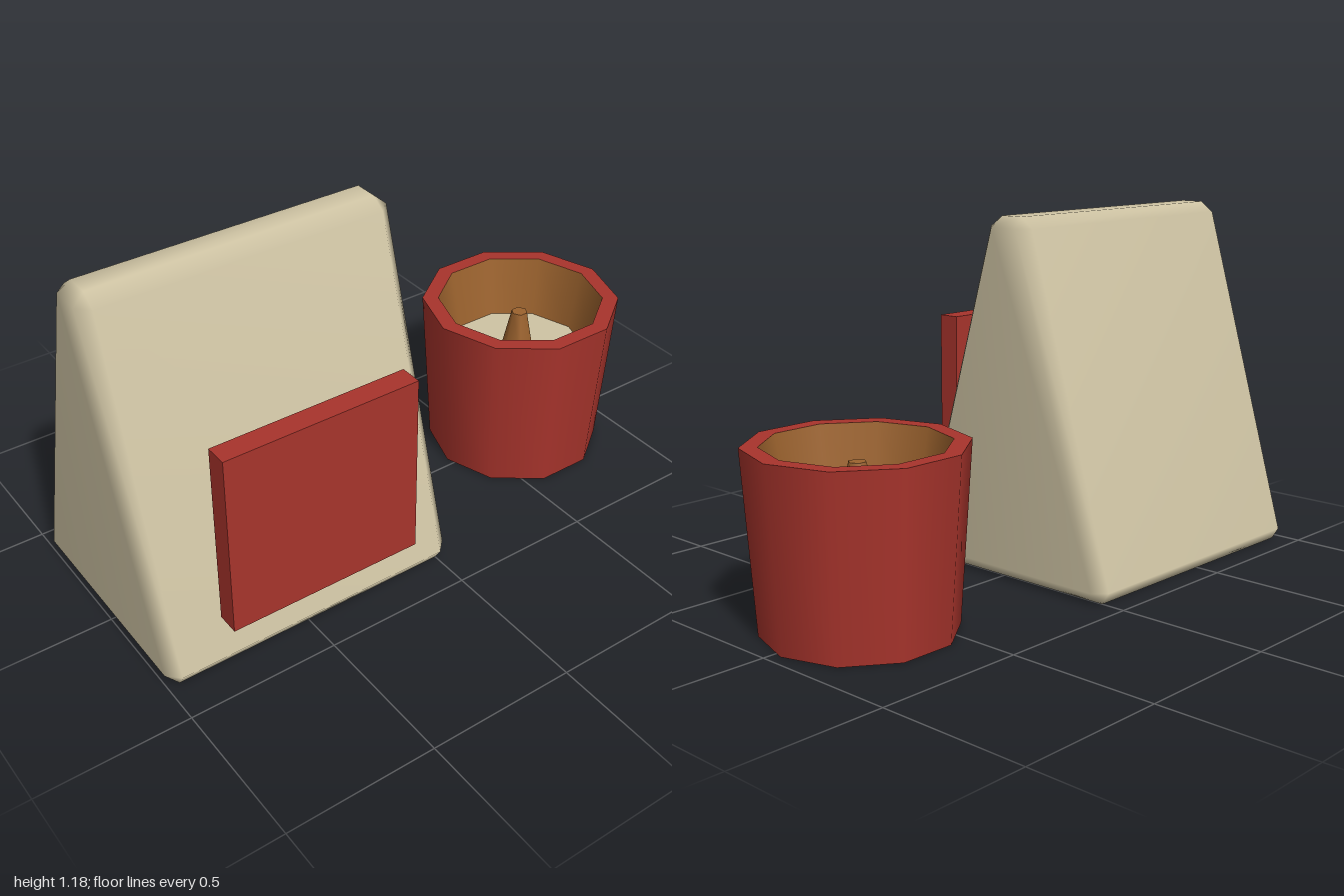
import * as THREE from 'three';
import { ConvexGeometry } from 'three/addons/geometries/ConvexGeometry.js';
import { mergeVertices } from 'three/addons/utils/BufferGeometryUtils.js';

function material(name, color) {
  const m = new THREE.MeshStandardMaterial({ color });
  m.name = name;
  return m;
}

function part(name, geometry, mat, x = 0, y = 0, z = 0) {
  const mesh = new THREE.Mesh(geometry, mat);
  mesh.name = name;
  mesh.position.set(x, y, z);
  return mesh;
}

// One band of a faceted vessel, from (r0, y0) to (r1, y1), corner on +x
function band(r0, y0, r1, y1, sides = 10) {
  const profile = [new THREE.Vector2(r0, y0), new THREE.Vector2(r1, y1)];
  return new THREE.LatheGeometry(profile, sides, Math.PI / 2);
}

// Tapered wedge with chamfered edges and softened shading
function wedgeGeometry() {
  const points = [];
  // [y, half width, half depth] for each rectangle of corners
  const levels = [
    [0, 0.48, 0.388],
    [0.04, 0.48, 0.413],
    [0.04, 0.52, 0.373],
    [1.15, 0.48, 0.088],
    [1.15, 0.52, 0.05],
    [1.185, 0.48, 0.04],
  ];
  for (const [y, w, d] of levels)
    for (const sx of [-1, 1])
      for (const sz of [-1, 1]) points.push(new THREE.Vector3(sx * w, y, sz * d));
  let geometry = new ConvexGeometry(points);
  geometry.deleteAttribute('normal');
  geometry = mergeVertices(geometry);
  geometry.computeVertexNormals();
  return geometry;
}

export function createModel() {
  const cream = material('cream', 0xcfc4a4);
  const red = material('red', 0xa8342c);
  const brown = material('brown', 0x9c632e);

  const model = new THREE.Group();
  model.name = 'bagAndCup';

  // Bag with a square label standing off its front
  const bag = new THREE.Group();
  bag.name = 'bag';
  bag.add(part('bagBody', wedgeGeometry(), cream, -0.48, 0, -0.028));
  bag.add(part('label', new THREE.BoxGeometry(0.66, 0.62, 0.075), red, -0.48, 0.5, 0.407));
  model.add(bag);

  // Ten-sided cup with a thick rim
  const cup = new THREE.Group();
  cup.name = 'cup';
  cup.position.set(0.66, 0, -0.03);
  cup.add(part('cupBase', band(0, 0, 0.302, 0), red));
  cup.add(part('cupWall', band(0.302, 0, 0.34, 0.57), red));
  cup.add(part('cupRim', band(0.34, 0.57, 0.285, 0.57), red));
  cup.add(part('cupLining', band(0.285, 0.57, 0.245, 0.36), brown));

  // Filling with a small tapered peg in the middle
  cup.add(part('filling', band(0.245, 0.36, 0, 0.36), cream));
  cup.add(part('pegSide', band(0.06, 0.36, 0.028, 0.515, 6), brown));
  cup.add(part('pegTop', band(0.028, 0.515, 0, 0.515, 6), brown));
  model.add(cup);

  return model;
}
